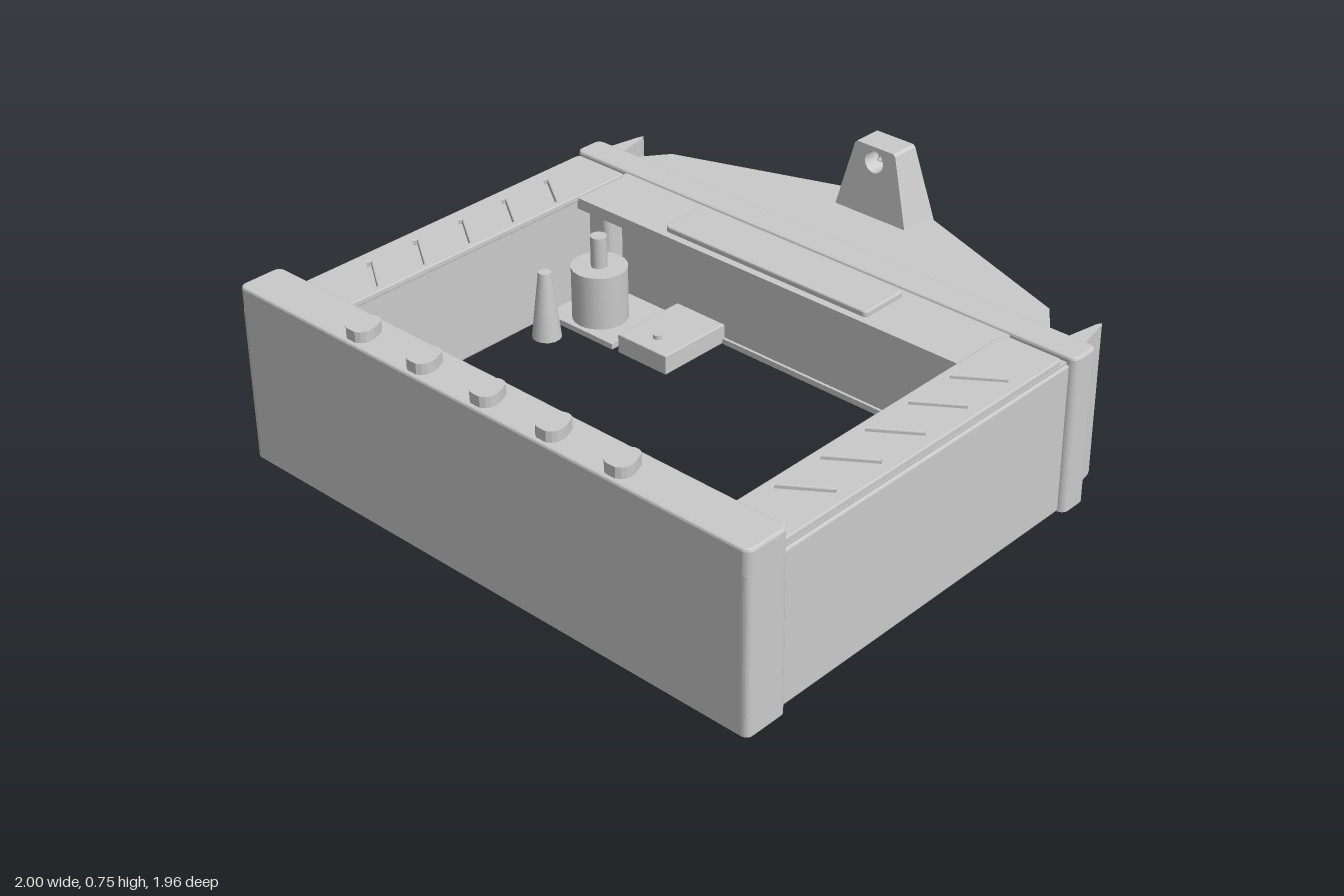
import * as THREE from 'three';

export function createModel() {
  const root = new THREE.Group();
  const grey = new THREE.MeshStandardMaterial({ color: 0xcacaca, side: THREE.DoubleSide });
  grey.name = 'plain grey';

  const add = (name, geo, x = 0, y = 0, z = 0) => {
    const m = new THREE.Mesh(geo, grey);
    m.name = name;
    m.position.set(x, y, z);
    root.add(m);
    return m;
  };

  // Plan outlines are given in x and z; the shape's y is -z
  const poly = (pts, C = THREE.Shape) => new C(pts.map(([x, z]) => new THREE.Vector2(x, -z)));
  const rect = (x0, x1, z0, z1, r = 0, C = THREE.Shape) => {
    if (!r) return poly([[x0, z0], [x0, z1], [x1, z1], [x1, z0]], C);
    const s = new C();
    s.absarc(x1 - r, -z0 - r, r, 0, Math.PI / 2);
    s.absarc(x0 + r, -z0 - r, r, Math.PI / 2, Math.PI);
    s.absarc(x0 + r, -z1 + r, r, Math.PI, Math.PI * 1.5);
    s.absarc(x1 - r, -z1 + r, r, Math.PI * 1.5, Math.PI * 2);
    return s;
  };
  // Raises a plan outline from y0 to y1, with an optional bevel kept inside the outline
  const slab = (name, shape, y0, y1, b = 0) => {
    const g = new THREE.ExtrudeGeometry(shape, {
      depth: y1 - y0 - 2 * b, bevelEnabled: b > 0, bevelSize: b, bevelThickness: b,
      bevelOffset: -b, bevelSegments: 2, curveSegments: 6,
    });
    g.rotateX(-Math.PI / 2);
    return add(name, g, 0, y0 + b, 0);
  };

  // Hollow front panel: cap, then a thin wall with returned ends, open to the tray
  slab('frontCap', rect(-1, 1, 0.82, 0.975, 0.025), 0.5, 0.59, 0.008);
  const shell = new THREE.Shape();
  shell.moveTo(-0.975, -0.82);
  shell.quadraticCurveTo(-1, -0.82, -1, -0.845);
  shell.lineTo(-1, -0.95);
  shell.quadraticCurveTo(-1, -0.975, -0.975, -0.975);
  shell.lineTo(0.975, -0.975);
  shell.quadraticCurveTo(1, -0.975, 1, -0.95);
  shell.lineTo(1, -0.845);
  shell.quadraticCurveTo(1, -0.82, 0.975, -0.82);
  for (const [x, z] of [[0.945, -0.82], [0.945, -0.945], [-0.945, -0.945], [-0.945, -0.82]]) shell.lineTo(x, z);
  slab('frontWall', shell, 0, 0.51);
  slab('frontInnerLip', rect(-0.76, 0.76, 0.77, 0.83), 0.47, 0.505);
  const panel = new THREE.Shape();
  panel.moveTo(-0.33, 0);
  panel.lineTo(0.33, 0);
  panel.lineTo(0.33, 0.27);
  panel.quadraticCurveTo(0.33, 0.3, 0.3, 0.3);
  panel.lineTo(-0.3, 0.3);
  panel.quadraticCurveTo(-0.33, 0.3, -0.33, 0.27);
  add('frontInnerPanel', new THREE.ExtrudeGeometry(panel, { depth: 0.03, bevelEnabled: false }), 0, 0, 0.92);

  // Row of teardrop buttons
  for (let i = -2; i <= 2; i++) {
    const x = i * 0.255;
    const s = new THREE.Shape();
    s.moveTo(x - 0.022, -0.866);
    s.quadraticCurveTo(x, -0.85, x + 0.022, -0.866);
    s.bezierCurveTo(x + 0.05, -0.92, x + 0.05, -0.945, x + 0.018, -0.962);
    s.lineTo(x - 0.018, -0.962);
    s.bezierCurveTo(x - 0.05, -0.945, x - 0.05, -0.92, x - 0.022, -0.866);
    slab('button', s, 0.585, 0.625);
  }

  for (const s of [-1, 1]) {
    const sideRect = (a, b, z0, z1, r, C) => rect(Math.min(s * a, s * b), Math.max(s * a, s * b), z0, z1, r, C);
    // Thin side wall and its grooved top rail
    slab('sideWall', sideRect(0.945, 0.978, -0.43, 0.83), 0, 0.5, 0.006);
    slab('sideRailBase', sideRect(0.765, 0.97, -0.43, 0.83), 0.48, 0.508);
    const rail = sideRect(0.76, 0.968, -0.395, 0.82, 0.015);
    for (let i = 0; i < 5; i++) {
      const z = -0.15 + i * 0.186;
      rail.holes.push(poly([
        [s * 0.785, z + 0.038], [s * 0.918, z - 0.052], [s * 0.926, z - 0.04], [s * 0.793, z + 0.052],
      ], THREE.Path));
    }
    slab('sideRail', rail, 0.505, 0.526, 0.004);
    // Low boxes with a knob, at the front and at the rear of the tray
    slab('frontBox', sideRect(0.39, 0.95, 0.745, 0.95), 0, 0.065, 0.005);
    slab('rearBox', sideRect(0.4, 0.61, -0.48, -0.2), 0, 0.07, 0.004);
    for (const [x, z] of [[0.57, 0.8], [0.5, -0.27]]) {
      add('boxKnob', new THREE.CylinderGeometry(0.015, 0.015, 0.02, 12), s * x, 0.074, z);
    }
    // Rear corner post and fin
    slab('rearPost', sideRect(0.86, 1, -0.522, -0.415, 0.025), 0, 0.5);
    slab('rearFin', poly([
      [s * 0.89, -0.51], [s * 0.955, -0.51], [s * 0.93, -0.64], [s * 0.923, -0.655], [s * 0.915, -0.64],
    ]), 0, 0.515);
  }

  // Rear crossbeam, raised plate, band and the tray's back wall
  slab('rearBeam', rect(-0.77, 0.77, -0.43, -0.185), 0.48, 0.518);
  slab('raisedPlate', rect(-0.405, 0.4, -0.388, -0.21, 0.015), 0.515, 0.537, 0.005);
  slab('rearBand', rect(-1, 1, -0.522, -0.415, 0.025), 0.44, 0.526, 0.008);
  slab('trayBackWall', rect(-0.88, 0.88, -0.505, -0.48), 0, 0.45);

  // Hollow angled rear shell
  const outer = [[-0.84, -0.515], [-0.76, -0.62], [-0.09, -0.858], [0.09, -0.858], [0.76, -0.62], [0.84, -0.515]];
  const inner = [[-0.8, -0.515], [-0.735, -0.6], [-0.085, -0.828], [0.085, -0.828], [0.735, -0.6], [0.8, -0.515]];
  slab('rearShellWall', poly([...outer, ...inner.slice().reverse()]), 0, 0.5);
  slab('rearShellTop', poly(outer), 0.495, 0.516);
  slab('centreFin', poly([[-0.033, -0.83], [0.033, -0.83], [0.009, -0.965], [0, -0.98], [-0.009, -0.965]]), 0, 0.512);

  // Rear floor with openings and a framed tongue on one side
  const floor = poly([
    ...outer, [0.95, -0.515], [0.95, -0.05], [0.67, -0.05], [0.67, -0.47], [-0.64, -0.47],
    [-0.64, -0.2], [-0.95, -0.2], [-0.95, -0.515],
  ]);
  for (const x of [-0.54, 0, 0.54]) floor.holes.push(rect(x - 0.12, x + 0.12, -0.635, -0.515, 0, THREE.Path));
  floor.holes.push(rect(0.7, 0.88, -0.36, -0.11, 0, THREE.Path));
  slab('rearFloor', floor, 0, 0.02);

  // Tapered tower with a round socket
  const towerSlice = (name, t0, t1, socket) => {
    const s = new THREE.Shape([
      [-0.15, 0.475], [0.15, 0.475], [0.08, 0.742], [0.072, 0.75], [-0.072, 0.75], [-0.08, 0.742],
    ].map(([x, y]) => new THREE.Vector2(x, y)));
    if (socket) s.holes.push(new THREE.Path().absarc(0, 0.7, 0.036, 0, Math.PI * 2, true));
    const g = new THREE.ExtrudeGeometry(s, { depth: 1, bevelEnabled: false, curveSegments: 12 });
    const p = g.attributes.position;
    for (let i = 0; i < p.count; i++) {
      const k = (p.getY(i) - 0.47) / 0.28;
      const t = p.getZ(i) > 0.5 ? t1 : t0;
      p.setZ(i, THREE.MathUtils.lerp(-0.862 + 0.032 * k, -0.712 - 0.02 * k, t));
    }
    g.computeVertexNormals();
    add(name, g);
  };
  towerSlice('towerBack', 0, 0.4, false);
  towerSlice('towerFront', 0.4, 1, true);
  add('socketCone', new THREE.ConeGeometry(0.024, 0.05, 4).rotateX(Math.PI / 2), 0, 0.7, -0.765);

  // Fittings inside the tray
  add('canister', new THREE.CylinderGeometry(0.095, 0.095, 0.2, 20), -0.8, 0.11, -0.31);
  add('canisterNeck', new THREE.CylinderGeometry(0.028, 0.028, 0.12, 14), -0.8, 0.26, -0.31);
  add('taperedBottle', new THREE.CylinderGeometry(0.022, 0.05, 0.24, 14), -0.86, 0.12, -0.12);

  return root;
}
